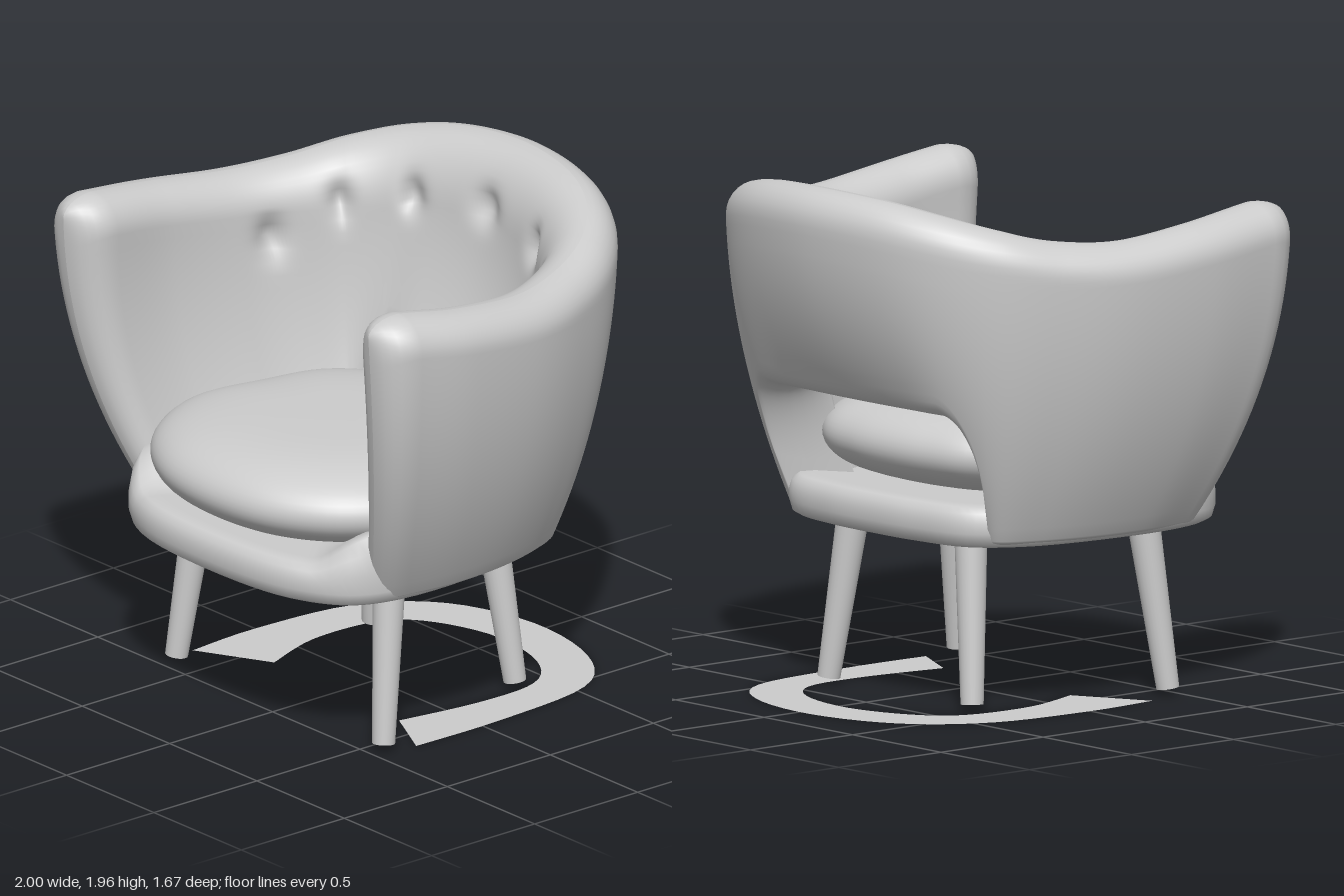
import * as THREE from 'three';

const V = (x, y, z) => new THREE.Vector3(x, y, z);
const { lerp, smoothstep, clamp } = THREE.MathUtils;

// Mirrors half a list of [x, y, z] points (last one on x = 0) to the other side.
function mirrored(half) {
  const pts = half.map((p) => V(...p));
  return pts.concat(pts.slice(0, -1).reverse().map((p) => V(-p.x, p.y, p.z)));
}

// Smooth skin over closed rings, with optional end fans; turned outward by its volume.
function loft(rings, caps) {
  const n = rings[0].length;
  const pts = rings.flat();
  const idx = [];
  for (let r = 0; r < rings.length - 1; r++) {
    for (let i = 0; i < n; i++) {
      const a = r * n + i, b = r * n + (i + 1) % n;
      idx.push(a, b, a + n, b, b + n, a + n);
    }
  }
  if (caps) {
    [0, rings.length - 1].forEach((r) => {
      const c = V(0, 0, 0);
      rings[r].forEach((p) => c.addScaledVector(p, 1 / n));
      const ci = pts.push(c) - 1;
      for (let i = 0; i < n; i++) {
        const a = r * n + i, b = r * n + (i + 1) % n;
        idx.push(...(r === 0 ? [b, a, ci] : [a, b, ci]));
      }
    });
  }
  let volume = 0;
  const cross = V(0, 0, 0);
  for (let i = 0; i < idx.length; i += 3) {
    volume += cross.crossVectors(pts[idx[i]], pts[idx[i + 1]]).dot(pts[idx[i + 2]]);
  }
  if (volume < 0) idx.reverse();
  const geo = new THREE.BufferGeometry().setFromPoints(pts);
  geo.setIndex(idx);
  geo.computeVertexNormals();
  return geo;
}

// Upper and lower outer edges of the wrap-around shell, from left arm to right arm.
const topPoints = mirrored([
  [0.98, 1.86, 0.65], [1.0, 1.82, 0.35], [0.97, 1.785, 0], [0.89, 1.8, -0.27],
  [0.77, 1.85, -0.5], [0.58, 1.905, -0.68], [0.33, 1.945, -0.79], [0, 1.96, -0.835],
]);
// the left arm is slightly shorter than the right one
topPoints[0].z = 0.62;
topPoints[14].z = 0.68;
const topEdge = new THREE.CatmullRomCurve3(topPoints, false, 'catmullrom');
const baseEdge = new THREE.CatmullRomCurve3(mirrored([
  [0.69, 0.635, 0.45], [0.715, 0.635, 0.23], [0.7, 0.635, 0], [0.65, 0.635, -0.21],
  [0.57, 0.635, -0.36], [0.43, 0.635, -0.32], [0.21, 0.635, -0.2], [0, 0.635, -0.15],
]), false, 'catmullrom');

// Button dimples: [place along the shell, height]
const dimples = [[7, 1.74], [5.5, 1.7], [8.5, 1.7], [3.8, 1.66], [10.2, 1.66], [2.5, 1.54], [11.5, 1.54]];

// Share of the thickness left at height y, rounded off near the upper and lower edge.
function rounding(y, low, rLow, high, rHigh) {
  const up = clamp((y - high) / rHigh + 1, 0, 1);
  const down = clamp((low - y) / rLow + 1, 0, 1);
  return Math.sqrt(1 - up * up) * Math.sqrt(1 - down * down);
}

// Cross-section of the shell; cap (0 to 90 degrees) rounds off the arm fronts.
function shellRing(u, cap = 0, side = 0) {
  const top = topEdge.getPoint(u), base = baseEdge.getPoint(u);
  const tan = topEdge.getTangent(u).setY(0).normalize();
  const inward = V(tan.z, 0, -tan.x);
  const place = u * 14;
  const fromEnd = Math.min(place, 14 - place);
  const yTop = top.y - 0.07 * (1 - Math.cos(cap));
  // the lower edge jumps up, with rounded corners, to leave the opening behind the seat
  const q = clamp((fromEnd - 4.3) / 0.9, 0, 1);
  const yLow = lerp(0.635, 1.135, Math.sqrt(1 - (1 - q) ** 2));
  const back = smoothstep(fromEnd, 2, 5);
  const thickLow = lerp(0.17, 0.265, smoothstep(fromEnd, 0, 2));
  const thickTop = lerp(0.275, 0.3, back);
  const ridge = lerp(0.5, 0.38, back);
  const rTop = lerp(0.14, 0.24, back), rLow = lerp(0.03, 0.13, q);
  const heights = [];
  for (let i = 0; i < 6; i++) heights.push(yLow + rLow * (1 - Math.cos(i / 6 * Math.PI / 2)));
  for (let i = 0; i < 20; i++) heights.push(lerp(yLow + rLow, yTop - rTop, i / 20));
  for (let i = 0; i <= 10; i++) heights.push(yTop - rTop + rTop * Math.sin(i / 10 * Math.PI / 2));
  const outer = [], inner = [];
  for (const y of heights) {
    const t = clamp((y - 0.635) / (top.y - 0.635), 0, 1);
    const f = 1 - Math.pow(1 - t, 2.2);
    const thick = lerp(thickLow, thickTop, t);
    const mid = V(lerp(base.x, top.x, f), y, lerp(base.z, top.z, f));
    mid.addScaledVector(inward, thick * ridge).addScaledVector(tan, side * Math.sin(cap) * thick / 2);
    let dent = 0;
    for (const [p, dy] of dimples) {
      const d2 = ((place - p) * 0.22) ** 2 + (y - dy) ** 2;
      dent += 0.05 * Math.exp(-d2 / 0.0035);
    }
    const hOut = thick * ridge * rounding(y, yLow, lerp(0.03, 0.05, q), yTop, 0.13);
    const hIn = thick * (1 - ridge) * rounding(y, yLow, rLow, yTop, rTop) - dent;
    outer.push(mid.clone().addScaledVector(inward, -hOut * Math.cos(cap)));
    inner.push(mid.clone().addScaledVector(inward, hIn * Math.cos(cap)));
  }
  return outer.concat(inner.reverse());
}

function shellGeometry() {
  const rings = [];
  for (let i = 6; i > 0; i--) rings.push(shellRing(0, i / 6 * Math.PI / 2, -1));
  for (let i = 0; i <= 224; i++) rings.push(shellRing(i / 224));
  for (let i = 1; i <= 6; i++) rings.push(shellRing(1, i / 6 * Math.PI / 2, 1));
  return loft(rings, false);
}

// Closed plan outline from half a list of [x, z] points running front to back.
function planOutline(half, count) {
  const right = half.map(([x, z]) => V(x, 0, z));
  const left = right.slice(1, -1).reverse().map((p) => V(-p.x, 0, p.z));
  return new THREE.CatmullRomCurve3(right.concat(left), true, 'centripetal').getPoints(count).slice(0, -1);
}

// Seat base with a soft lip that sweeps up towards the arms
function seatBaseGeometry() {
  const plan = planOutline([[0, 0.83], [0.42, 0.785], [0.63, 0.66], [0.71, 0.45], [0.7, 0],
    [0.63, -0.28], [0.5, -0.44], [0.25, -0.495], [0, -0.505]], 96);
  const profile = [[0.4, 0.635, 0], [0.95, 0.635, 0], [0.985, 0.65, 0], [1, 0.69, 0], [1, 0.73, 0.3],
    [0.985, 0.765, 0.7], [0.95, 0.785, 1], [0.88, 0.79, 1], [0.7, 0.785, 0.3], [0.3, 0.785, 0]];
  return loft(profile.map(([s, y, lift]) => plan.map((p) => {
    const rise = 0.13 * lift * smoothstep(Math.abs(p.x), 0.5, 0.72) * smoothstep(p.z, -0.1, 0.4);
    return V(p.x * s, y + rise, 0.16 + (p.z - 0.16) * s);
  })), true);
}

// Plump seat cushion
function cushionGeometry() {
  const plan = planOutline([[0, 0.838], [0.3, 0.79], [0.54, 0.63], [0.67, 0.38], [0.63, 0.08],
    [0.56, -0.2], [0.4, -0.36], [0.2, -0.415], [0, -0.43]], 96);
  const rings = [];
  for (let i = 1; i < 28; i++) {
    const a = (i / 28 - 0.5) * Math.PI;
    const s = Math.pow(Math.cos(a), 0.5);
    rings.push(plan.map((p) => V(p.x * s, 0.945 + 0.168 * Math.sin(a), 0.2 + (p.z - 0.2) * s)));
  }
  return loft(rings, true);
}

// Flat horseshoe lying on the floor
function floorGeometry() {
  const outer = new THREE.SplineCurve([[-0.67, 0.32], [-0.69, 0], [-0.64, -0.43], [-0.43, -0.71], [-0.06, -0.825],
    [0.32, -0.76], [0.55, -0.55], [0.61, -0.1], [0.61, 0.32]].map((p) => new THREE.Vector2(...p)));
  const inner = new THREE.SplineCurve([[0.37, 0.2], [0.42, -0.15], [0.4, -0.43], [0.24, -0.58], [-0.04, -0.63],
    [-0.31, -0.55], [-0.45, -0.4], [-0.47, -0.1], [-0.38, 0.17]].map((p) => new THREE.Vector2(...p)));
  const shape = new THREE.Shape(outer.getPoints(40).concat(inner.getPoints(40)));
  return new THREE.ShapeGeometry(shape).rotateX(Math.PI / 2);
}

export function createModel() {
  const grey = new THREE.MeshStandardMaterial({ color: 0xcccccc });
  grey.name = 'light grey';
  grey.side = THREE.DoubleSide;
  const group = new THREE.Group();
  group.name = 'armchair';
  const add = (name, geo) => {
    const mesh = new THREE.Mesh(geo, grey);
    mesh.name = name;
    group.add(mesh);
    return mesh;
  };
  add('backAndArms', shellGeometry());
  add('seatBase', seatBaseGeometry());
  add('cushion', cushionGeometry());
  add('floorOutline', floorGeometry()).position.y = 0.001;

  // Splayed, tapered legs: [name, foot, head]
  const legs = [
    ['frontLeftLeg', V(0.565, 0.03, 0.44), V(0.515, 0.67, 0.37)],
    ['frontRightLeg', V(-0.62, 0.03, 0.44), V(-0.56, 0.67, 0.37)],
    ['backLeftLeg', V(0.39, 0.03, -0.345), V(0.305, 0.67, -0.295)],
    ['backRightLeg', V(-0.42, 0.03, -0.345), V(-0.355, 0.67, -0.295)],
  ];
  for (const [name, foot, head] of legs) {
    const axis = head.clone().sub(foot);
    const leg = add(name, new THREE.CylinderGeometry(0.062, 0.043, axis.length(), 24));
    leg.position.copy(foot).add(head).multiplyScalar(0.5);
    leg.quaternion.setFromUnitVectors(V(0, 1, 0), axis.normalize());
  }
  return group;
}
